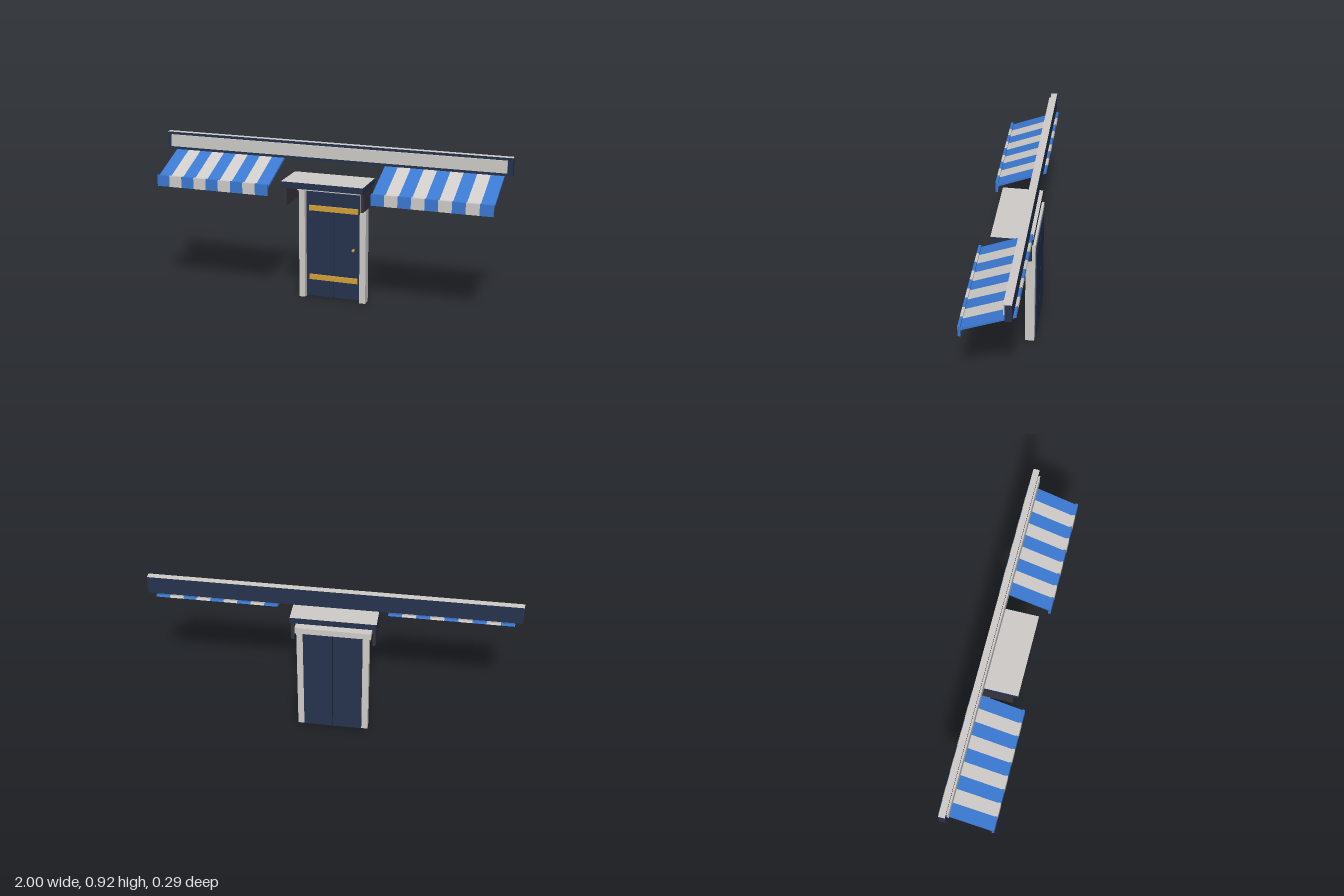
import * as THREE from 'three';

const mat = (name, color) => Object.assign(new THREE.MeshStandardMaterial({ color }), { name });

export function createModel() {
  const navy = mat('navy', 0x26334f);
  const stone = mat('stone', 0xcfccc9);
  const blue = mat('blue', 0x3b79d2);
  const gold = mat('gold', 0xd3a238);
  const charcoal = mat('charcoal', 0x37343d);
  const navyStoneTop = [navy, navy, stone, navy, navy, navy]; // box with a pale top face

  const model = new THREE.Group();
  model.name = 'shopFront';

  // Box given by its limits on each axis
  const box = (name, material, [x0, x1], [y0, y1], [z0, z1], parent = model) => {
    const mesh = new THREE.Mesh(new THREE.BoxGeometry(x1 - x0, y1 - y0, z1 - z0), material);
    mesh.position.set((x0 + x1) / 2, (y0 + y1) / 2, (z0 + z1) / 2);
    mesh.name = name;
    parent.add(mesh);
    return mesh;
  };

  // Long fascia sign with a raised blank panel
  box('signBoard', navyStoneTop, [-1, 1], [0.815, 0.915], [-0.125, -0.09]);
  box('signPanel', stone, [-0.975, 0.972], [0.832, 0.9], [-0.091, -0.08]);

  // Striped awnings: sloped cloth plus a hanging valance, nine stripes each
  const slope = new THREE.Shape([
    [0.137, 0.692], [0.137, 0.705], [-0.137, 0.815], [-0.141, 0.804],
  ].map(([z, y]) => new THREE.Vector2(z, y)));
  const makeAwning = (name, x0, x1) => {
    const awning = new THREE.Group();
    awning.name = name;
    const w = (x1 - x0) / 9;
    const cloth = new THREE.ExtrudeGeometry(slope, { depth: w, bevelEnabled: false });
    cloth.rotateY(-Math.PI / 2); // profile z,y now lies across x
    for (let i = 0; i < 9; i++) {
      const a = x0 + i * w;
      const material = i % 2 ? stone : blue;
      const strip = new THREE.Mesh(cloth, material);
      strip.name = 'awningStripe';
      strip.position.x = a + w;
      awning.add(strip);
      box('valanceStripe', material, [a, a + w], [0.655, 0.718], [0.133, 0.147], awning);
    }
    model.add(awning);
  };
  makeAwning('rightAwning', -0.959, -0.297);
  makeAwning('leftAwning', 0.292, 0.952);

  // Door canopy with side cheeks
  box('canopyTop', navyStoneTop, [-0.237, 0.232], [0.696, 0.731], [-0.132, 0.095]);
  box('rightCanopyCheek', charcoal, [-0.232, -0.217], [0.585, 0.697], [-0.125, 0.065]);
  box('leftCanopyCheek', charcoal, [0.21, 0.227], [0.585, 0.697], [-0.125, 0.065]);

  // Door frame
  box('rightJamb', stone, [-0.2, -0.165], [0, 0.638], [-0.14, -0.088]);
  box('leftJamb', stone, [0.16, 0.196], [0, 0.638], [-0.14, -0.088]);
  box('lintel', stone, [-0.21, 0.205], [0.637, 0.673], [-0.142, -0.086]);

  // Double door with a narrow gap between the leaves
  const door = new THREE.Group();
  door.name = 'door';
  model.add(door);
  box('rightLeaf', navy, [-0.165, -0.0045], [0.004, 0.637], [-0.147, -0.118], door);
  box('leftLeaf', navy, [0, 0.16], [0.004, 0.637], [-0.147, -0.118], door);
  for (const y of [0.12, 0.532]) {
    box('doorStrap', gold, [-0.145, 0.142], [y - 0.015, y + 0.015], [-0.119, -0.108], door);
  }

  // Door knob on a short stem
  const stem = new THREE.Mesh(new THREE.CylinderGeometry(0.004, 0.004, 0.024, 8), gold);
  stem.name = 'knobStem';
  stem.rotation.x = Math.PI / 2;
  stem.position.set(0.12, 0.307, -0.107);
  const knob = new THREE.Mesh(new THREE.SphereGeometry(0.009, 10, 8), gold);
  knob.name = 'doorKnob';
  knob.position.set(0.12, 0.307, -0.094);
  door.add(stem, knob);

  return model;
}
